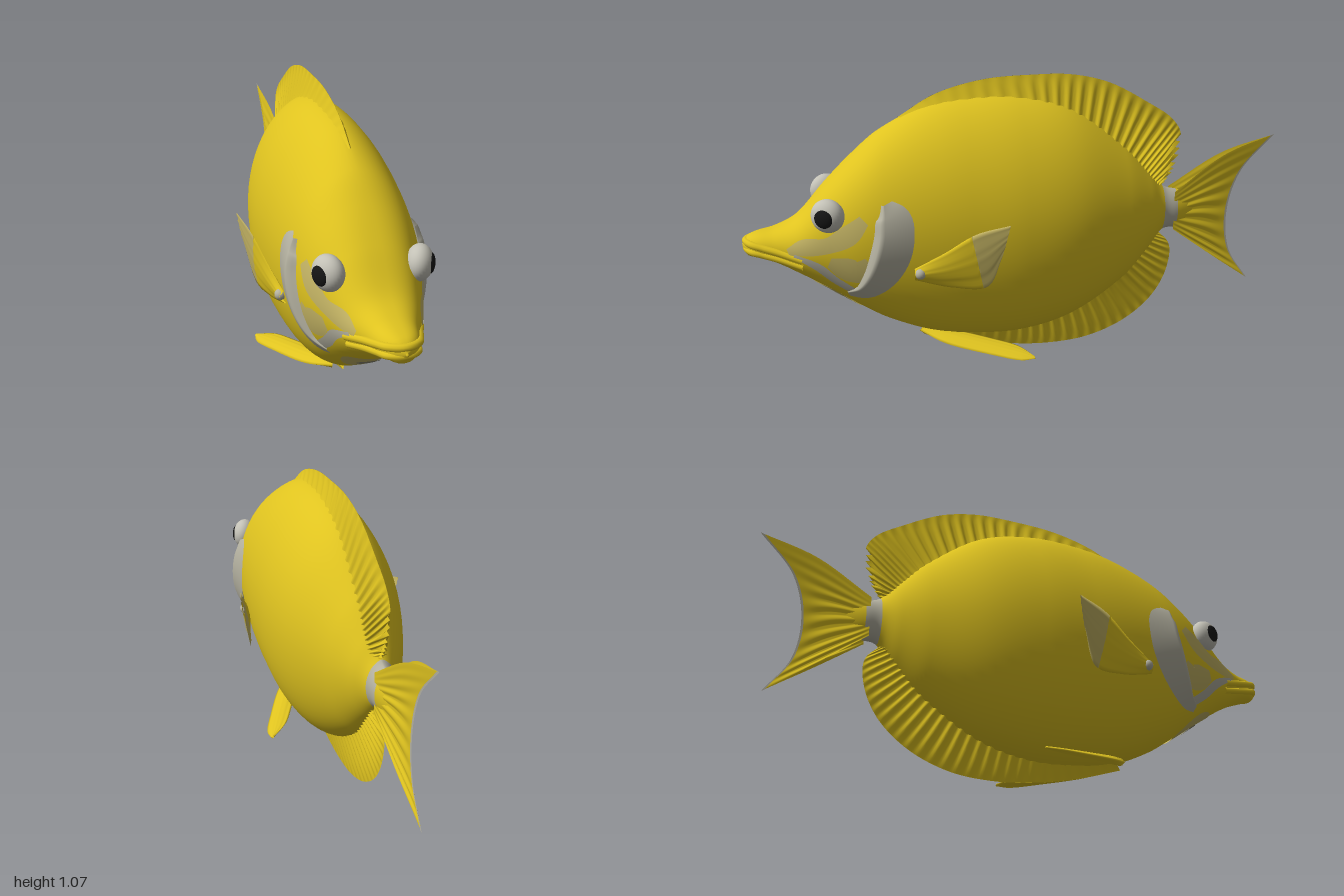
import * as THREE from 'three';

const mat = (name, color) => {
  const m = new THREE.MeshStandardMaterial({ color, side: THREE.DoubleSide });
  m.name = name;
  return m;
};

// Body stations: z, top, bottom, half width
const STATIONS = [
  [1.0, 0.505, 0.495, 0.004], [0.985, 0.53, 0.465, 0.034], [0.95, 0.545, 0.455, 0.06], [0.88, 0.56, 0.43, 0.085],
  [0.8, 0.60, 0.385, 0.122], [0.7, 0.71, 0.32, 0.16], [0.6, 0.81, 0.25, 0.195], [0.5, 0.895, 0.185, 0.215],
  [0.35, 0.97, 0.12, 0.232], [0.2, 1.0, 0.09, 0.24], [0.0, 1.0, 0.085, 0.24], [-0.2, 0.945, 0.135, 0.212],
  [-0.4, 0.80, 0.26, 0.14], [-0.5, 0.695, 0.37, 0.09], [-0.56, 0.625, 0.445, 0.053], [-0.62, 0.605, 0.455, 0.042],
  [-0.7, 0.58, 0.48, 0.015],
];

// Smooth interpolation of the stations by z
function station(z) {
  const S = STATIONS, n = S.length;
  let i = 0;
  while (i < n - 2 && z < S[i + 1][0]) i++;
  const a = S[i], b = S[i + 1], p = S[Math.max(i - 1, 0)], q = S[Math.min(i + 2, n - 1)];
  const h = b[0] - a[0], t = THREE.MathUtils.clamp((z - a[0]) / h, 0, 1);
  return [1, 2, 3].map((k) => {
    const m0 = (b[k] - p[k]) / (b[0] - p[0]) * h, m1 = (q[k] - a[k]) / (q[0] - a[0]) * h;
    const t2 = t * t, t3 = t2 * t;
    return (2 * t3 - 3 * t2 + 1) * a[k] + (t3 - 2 * t2 + t) * m0 + (3 * t2 - 2 * t3) * b[k] + (t3 - t2) * m1;
  });
}

// Cross-section fullness: round head, narrower back
function widthAt(z, s) {
  const back = THREE.MathUtils.smoothstep(0.75 - z, 0, 0.45);
  const p = s > 0 ? 0.8 + 0.45 * back : 0.85 + 0.15 * back;
  return Math.pow(Math.sqrt(Math.max(0, 1 - s * s)), p);
}
function bodyPoint(z, angle, grow = 0) {
  const [top, bot, hw] = station(z), s = Math.sin(angle);
  const x = (hw + grow) * widthAt(z, s) * Math.sign(Math.cos(angle));
  return new THREE.Vector3(x, (top + bot) / 2 + ((top - bot) / 2 + grow) * s, z);
}
function surfaceX(z, y) {
  const [top, bot, hw] = station(z);
  return hw * widthAt(z, THREE.MathUtils.clamp((2 * y - top - bot) / (top - bot), -0.99, 0.99));
}

// Grid surface from fn(u, v) -> Vector3; wrap closes it in v
function grid(nu, nv, fn, wrap = false) {
  const pos = [], idx = [], cols = wrap ? nv : nv + 1;
  for (let i = 0; i <= nu; i++)
    for (let j = 0; j < cols; j++) pos.push(...fn(i / nu, j / nv).toArray());
  for (let i = 0; i < nu; i++)
    for (let j = 0; j < nv; j++) {
      const k = (j + 1) % cols, a = i * cols + j, b = i * cols + k, c = a + cols, d = b + cols - 0;
      idx.push(a, c, b, b, c, d);
    }
  const g = new THREE.BufferGeometry();
  g.setAttribute('position', new THREE.Float32BufferAttribute(pos, 3));
  g.setIndex(idx);
  g.computeVertexNormals();
  return g;
}
const curve = (pts) => new THREE.CatmullRomCurve3(pts.map(([z, y, w = 0]) => new THREE.Vector3(w, y, z)));

export function createModel() {
  const yellow = mat('yellow skin', 0xdfc31f);
  const grey = mat('pale grey', 0xb4b1a0);
  const pale = mat('pale yellow', 0xc4b464);
  const white = mat('eye white', 0xc3c1b6);
  const black = mat('pupil black', 0x151515);
  const slate = mat('throat grey', 0x8d8a72);

  const fish = new THREE.Group();
  fish.name = 'fish';
  const add = (name, geo, material, parent = fish) => {
    const m = new THREE.Mesh(geo, material);
    m.name = name;
    parent.add(m);
    return m;
  };

  // Body, and the grey ring before the tail
  const hull = (z0, z1, n) => grid(n, 64, (u, v) => bodyPoint(z0 + (z1 - z0) * u, v * Math.PI * 2 + 0.01), true);
  add('body', hull(1, -0.56, 150), yellow);
  add('tailRing', hull(-0.56, -0.615, 8), grey);
  add('tailRoot', hull(-0.615, -0.7, 8), yellow);

  // Middle fins: rows of (z, y) curves from root to rim, tapering and rippled
  function fin(name, rows, { thick, ripple = 0, rays = 30, teeth = 0, v0 = 0, v1 = 1, material = yellow }) {
    const curves = rows.map(curve);
    const group = new THREE.Group();
    group.name = name;
    for (const side of [1, -1]) {
      add(name + (side > 0 ? 'Left' : 'Right'), grid(240, 14, (u, w) => {
        const v = v0 + (v1 - v0) * w;
        const p = new THREE.CatmullRomCurve3(curves.map((c) => c.getPoint(u))).getPoint(v);
        if (u > 0.8 && teeth) p.z += ((u * teeth) % 1) * 0.03 * v ** 4;
        const wave = ripple * Math.sin(u * rays * Math.PI * 2 + v * 3) * 4 * v * (1 - v) * Math.min(1, u * 2);
        p.x = side * (thick * (1 - v) ** 1.2 + 0.002 * (1 - v) + 0.0005 + Math.max(wave, -0.002));
        return p;
      }), material, group);
    }
    fish.add(group);
  }
  fin('dorsalFin', [
    [[0.38, 0.93], [0.28, 0.95], [0.12, 0.96], [-0.05, 0.95], [-0.17, 0.91], [-0.28, 0.84], [-0.37, 0.77], [-0.43, 0.71], [-0.47, 0.67], [-0.5, 0.64], [-0.52, 0.61]],
    [[0.43, 0.94], [0.3, 1.015], [0.13, 1.06], [-0.05, 1.07], [-0.2, 1.065], [-0.34, 1.03], [-0.48, 0.955], [-0.59, 0.88], [-0.625, 0.82], [-0.61, 0.7], [-0.565, 0.62]],
  ], { thick: 0.045, ripple: 0.006, teeth: 45 });
  fin('analFin', [
    [[0.33, 0.15], [0.2, 0.14], [0.05, 0.14], [-0.08, 0.16], [-0.2, 0.2], [-0.3, 0.26], [-0.38, 0.33], [-0.44, 0.38], [-0.49, 0.43], [-0.52, 0.46]],
    [[0.38, 0.1], [0.2, 0.045], [0.03, 0.012], [-0.12, 0], [-0.28, 0.015], [-0.43, 0.075], [-0.54, 0.17], [-0.595, 0.28], [-0.6, 0.38], [-0.55, 0.44]],
  ], { thick: 0.045, ripple: 0.006 });
  const tail = [
    [[-0.6, 0.605], [-0.6, 0.57], [-0.6, 0.53], [-0.6, 0.49], [-0.6, 0.455]],
    [[-0.8, 0.735], [-0.74, 0.62], [-0.72, 0.53], [-0.73, 0.42], [-0.775, 0.325]],
    [[-1.0, 0.8], [-0.875, 0.66], [-0.83, 0.5], [-0.85, 0.34], [-0.935, 0.21]],
  ];
  fin('tailFin', tail, { thick: 0.036, ripple: 0.003, rays: 9, v1: 0.965 });
  fin('tailRim', tail, { thick: 0.036, v0: 0.965, material: grey });

  // Lips: two rolls wrapping the snout
  const lip = (name, lift, r) => {
    const half = [[0.79, 0.455], [0.86, 0.475], [0.92, 0.49], [0.965, 0.5]].map(([z, y]) =>
      new THREE.Vector3(surfaceX(z, y + lift) - 0.003, y + lift, z));
    const other = half.map((p) => p.clone().setX(-p.x)).reverse();
    const path = new THREE.CatmullRomCurve3([...half, new THREE.Vector3(0, 0.503 + lift, 0.987), ...other]);
    add(name, new THREE.TubeGeometry(path, 60, r, 10), yellow);
  };
  lip('upperLip', 0.014, 0.013);
  lip('lowerLip', -0.014, 0.012);

  // Ribbon laid on the flank: path of (z, y, half width); lift(v) raises it off the skin
  const ribbon = (pts, side, lift) => {
    const c = curve(pts);
    return grid(36, 16, (u, v) => {
      const p = c.getPoint(u), t = c.getTangent(u);
      const n = new THREE.Vector2(t.y, -t.z).normalize();
      const o = (v * 2 - 1) * p.x, z = p.z + n.x * o, y = p.y + n.y * o;
      return new THREE.Vector3(side * (surfaceX(z, y) + lift(v, u)), y, z);
    });
  };

  // Leaf-shaped fin between two edge curves, mapped into space by place()
  const leaf = (upper, lower, place, u0, u1) => {
    const a = curve(upper), b = curve(lower);
    return grid(24, 24, (u, w) => {
      const t = u0 + (u1 - u0) * u, v = w < 0.5 ? w * 2 : 2 - w * 2;
      const p = a.getPoint(t).lerp(b.getPoint(t), v);
      const puff = Math.sin(v * Math.PI) * (0.014 * (1 - t) + 0.003) + 0.0015 * Math.sin(v * 30);
      return place(p.z, p.y, (w < 0.5 ? 1 : -1) * puff);
    }, true);
  };

  for (const side of [1, -1]) {
    const half = new THREE.Group();
    half.name = side > 0 ? 'leftSide' : 'rightSide';
    fish.add(half);

    // Eye
    const eye = new THREE.Group();
    eye.name = 'eye';
    eye.position.set(side * 0.148, 0.64, 0.695);
    eye.rotation.y = side * 1.13;
    half.add(eye);
    add('eyeball', new THREE.SphereGeometry(0.06, 32, 20).scale(1, 1, 0.75), white, eye);
    add('pupil', new THREE.SphereGeometry(0.034, 24, 16).scale(1, 1, 0.45), black, eye).position.z = 0.034;

    // Cheek markings
    const flat = () => 0.004;
    add('cheekPatch', ribbon([[0.84, 0.5, 0.012], [0.78, 0.52, 0.03], [0.7, 0.535, 0.028], [0.63, 0.575, 0.035], [0.575, 0.63, 0.02]], side, flat), pale);
    add('lowerCheek', ribbon([[0.7, 0.47, 0.02], [0.65, 0.45, 0.045], [0.6, 0.44, 0.045], [0.56, 0.47, 0.03]], side, flat), pale);
    add('jawStripe', ribbon([[0.82, 0.49, 0.006], [0.74, 0.45, 0.016], [0.68, 0.395, 0.016], [0.61, 0.345, 0.014]], side, () => 0.006), grey);

    // Gill cover, raised toward its rear edge
    add('gillCover', ribbon([[0.495, 0.69, 0.02], [0.475, 0.64, 0.06], [0.475, 0.57, 0.068], [0.495, 0.49, 0.068], [0.535, 0.41, 0.055], [0.585, 0.355, 0.035], [0.64, 0.335, 0.012]], side, (v, u) => {
      const k = 1 - v;
      return 0.005 + 0.028 * Math.sin(Math.PI * Math.min(1, u * 0.8 + 0.15)) * (k < 0.85 ? k / 0.85 : (1 - k) / 0.15);
    }), grey);

    // Pectoral fin with a pale tip
    const pec = (u0, u1) => leaf(
      [[0.41, 0.45], [0.31, 0.51], [0.2, 0.585], [0.085, 0.62]],
      [[0.41, 0.405], [0.28, 0.375], [0.16, 0.378], [0.11, 0.5]],
      (z, y, d) => new THREE.Vector3(side * (0.213 + (0.4 - z) * 0.2 + (y - 0.38) * 0.15 + d), y, z), u0, u1);
    add('pectoralFin', pec(0, 0.62), yellow, half);
    add('pectoralTip', pec(0.62, 1), pale, half);
    add('pectoralJoint', new THREE.SphereGeometry(0.02, 16, 12), grey, half).position.set(side * 0.228, 0.432, 0.39);

    // Pelvic fin, outlined in (z, x) and sloping outward
    add('pelvicFin', leaf(
      [[0.38, 0.04], [0.3, 0.115], [0.14, 0.195], [0.03, 0.238], [-0.02, 0.235]],
      [[0.34, 0.03], [0.24, 0.06], [0.12, 0.115], [0.03, 0.165], [-0.02, 0.225]],
      (z, x, d) => new THREE.Vector3(side * x, 0.132 - 0.3 * x + d, z), 0, 1), yellow, half);
  }

  // Throat markings wrapped under the chin
  const throat = (rz, rx, grow) => grid(12, 40, (r, a) => {
    const t = a * Math.PI * 2, z = 0.675 + rz * r * Math.cos(t);
    return bodyPoint(z, -Math.PI / 2 + Math.asin(THREE.MathUtils.clamp(rx * r * Math.sin(t) / station(z)[2], -1, 1)), grow);
  }, true);
  add('throatPatch', throat(0.09, 0.085, 0.004), pale);
  add('throatSpot', throat(0.03, 0.035, 0.008), slate);
  return fish;
}
